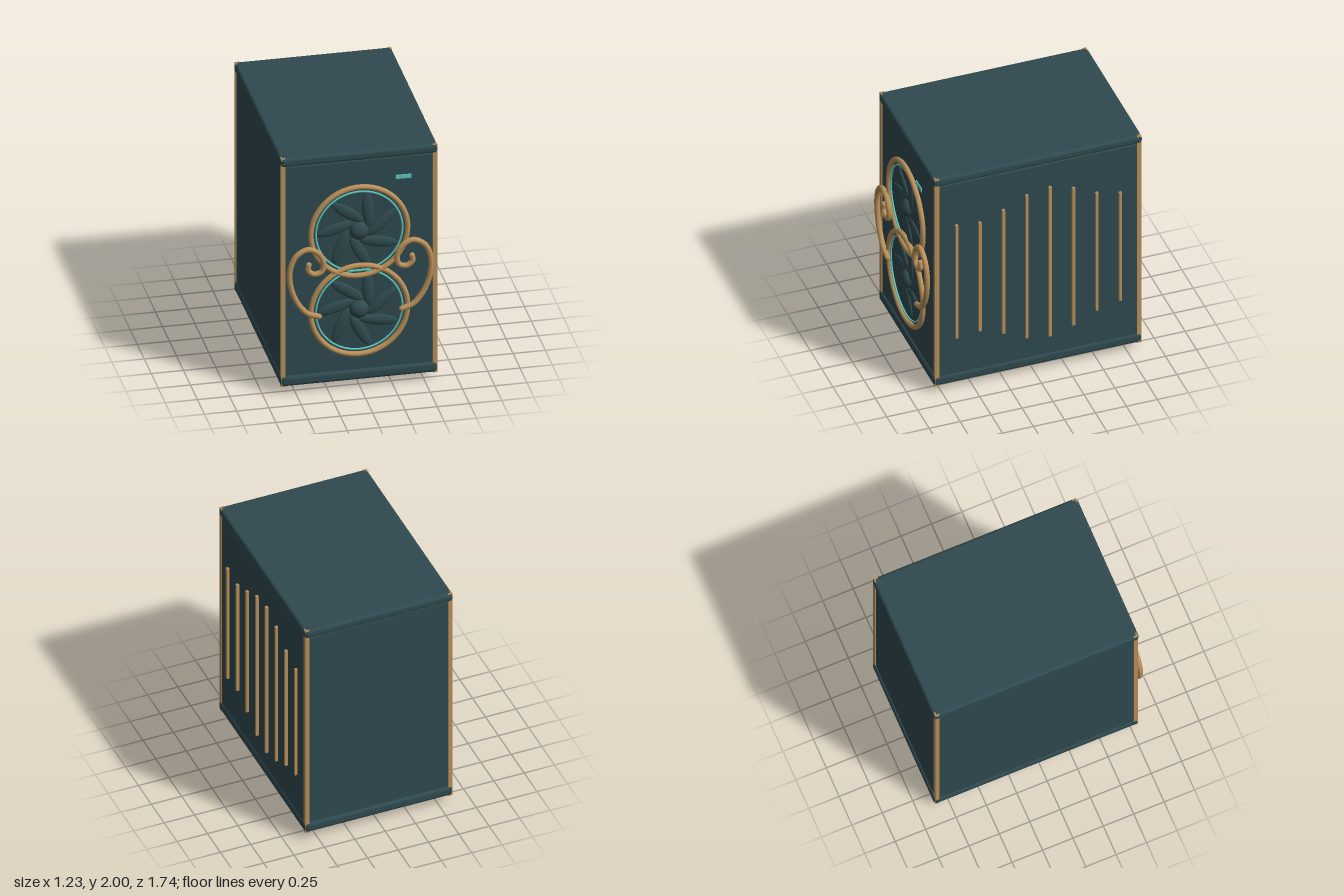
import * as THREE from 'three';
import { RoundedBoxGeometry } from 'three/addons/geometries/RoundedBoxGeometry.js';

export function createModel() {
  const model = new THREE.Group();
  model.name = 'ornateComputerCase';

  const paint = (name, color) => {
    const m = new THREE.MeshStandardMaterial({ color });
    m.name = name;
    return m;
  };
  const slate = paint('darkSlate', 0x2f4a4f);
  const brass = paint('brass', 0xb8905a);
  const glow = paint('turquoise', 0x5cc8bc);

  const add = (name, geometry, material, x = 0, y = 0, z = 0, parent = model) => {
    const mesh = new THREE.Mesh(geometry, material);
    mesh.name = name;
    mesh.position.set(x, y, z);
    parent.add(mesh);
    return mesh;
  };

  const CX = -0.008, CZ = -0.028; // centre of the cabinet

  // Cabinet with its top and bottom slabs
  add('cabinet', new RoundedBoxGeometry(1.2, 1.8, 1.648, 3, 0.02), slate, CX, 1.03, CZ);
  add('topSlab', new RoundedBoxGeometry(1.22, 0.072, 1.685, 4, 0.025), slate, CX, 1.963, CZ);
  add('bottomSlab', new RoundedBoxGeometry(1.22, 0.09, 1.685, 4, 0.03), slate, CX, 0.109, CZ);

  // Brass angle strips running down the four corners
  const L = 0.035, T = 0.012;
  for (const sx of [-1, 1]) {
    for (const sz of [-1, 1]) {
      const post = new THREE.Group();
      post.name = 'cornerStrip';
      post.position.set(CX + sx * 0.605, 1.032, CZ + sz * 0.833);
      add('sideFlange', new THREE.BoxGeometry(T, 1.937, L), brass, -sx * T / 2, 0, -sz * L / 2, post);
      add('faceFlange', new THREE.BoxGeometry(L - T, 1.937, T), brass,
        -sx * (T + L) / 2, 0, -sz * T / 2, post);
      model.add(post);
    }
  }

  // Tapered feet
  for (const x of [-0.465, 0.443]) {
    for (const z of [0.53, -0.585]) {
      add('foot', new THREE.CylinderGeometry(0.042, 0.058, 0.08, 24), slate, x, 0.04, z);
    }
  }

  // Vent slats on the left side, rising and falling in height
  [1.055, 1.015, 1.155, 1.335, 1.395, 1.285, 1.1, 1.01].forEach((height, i) => {
    add('ventSlat', new THREE.BoxGeometry(0.03, height, 0.022), brass, 0.6, 1.0125, 0.632 - i * 0.1885);
  });

  // Two fans, each with a brass ring, a lit ring, a domed hub and seven swept blades
  const blade = new THREE.SphereGeometry(1, 20, 12).scale(0.15, 0.045, 0.02);
  for (const y of [1.33, 0.665]) {
    const fan = new THREE.Group();
    fan.name = 'fan';
    fan.position.set(-0.01, y, 0.796);
    add('fanRing', new THREE.TorusGeometry(0.375, 0.021, 12, 72), brass, 0, 0, 0.02, fan);
    add('lightRing', new THREE.TorusGeometry(0.335, 0.008, 8, 72), glow, 0, 0, 0.017, fan);
    add('hub', new THREE.SphereGeometry(1, 28, 16).scale(0.075, 0.075, 0.058), slate, 0, 0, 0, fan);
    for (let i = 0; i < 7; i++) {
      const a = 1.18 + i * Math.PI * 2 / 7;
      const b = add('fanBlade', blade, slate, 0.185 * Math.cos(a), 0.185 * Math.sin(a), 0.004, fan);
      b.rotation.z = a + 0.45;
    }
    model.add(fan);
  }

  // Mirrored scrolls beside the fans
  const scroll = [
    [0.32, 0.655], [0.41, 0.69], [0.49, 0.79], [0.54, 0.93], [0.545, 1.07], [0.5, 1.18], [0.41, 1.23],
    [0.33, 1.195], [0.285, 1.11], [0.3, 1.035], [0.36, 1.018], [0.404, 1.055], [0.4, 1.1],
  ];
  for (const s of [-1, 1]) {
    const path = new THREE.CatmullRomCurve3(scroll.map(([x, y]) => new THREE.Vector3(CX + s * x, y, 0.847)));
    add('scroll', new THREE.TubeGeometry(path, 110, 0.022, 12), brass);
    for (const [x, y] of [scroll[0], scroll[scroll.length - 1]]) {
      add('scrollEnd', new THREE.SphereGeometry(0.022, 12, 8), brass, CX + s * x, y, 0.847);
    }
  }

  // Small status light in front of the upper corner
  add('statusLight', new THREE.BoxGeometry(0.122, 0.032, 0.008), glow, 0.33, 1.77, 0.836);

  return model;
}
